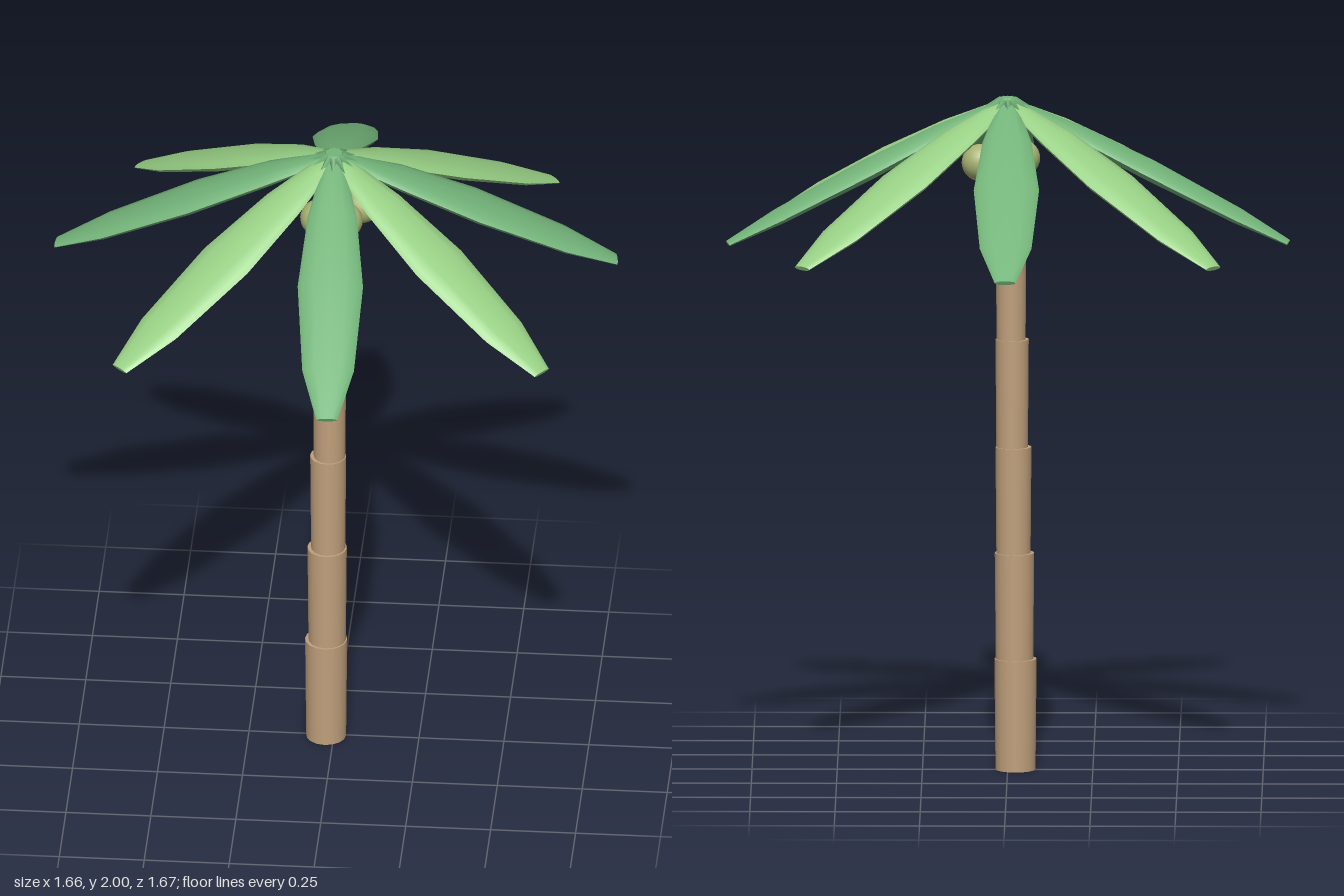
import * as THREE from 'three';
import { mergeVertices, toCreasedNormals } from 'three/addons/utils/BufferGeometryUtils.js';

const mat = (color) => new THREE.MeshStandardMaterial({ color });
const bark = mat(0xc0a07c), darkLeaf = mat(0x74b57a), lightLeaf = mat(0x98d085), nutSkin = mat(0xa9b374);

function add(parent, name, geometry, material, x = 0, y = 0, z = 0) {
  const mesh = new THREE.Mesh(geometry, material);
  mesh.name = name;
  mesh.position.set(x, y, z);
  parent.add(mesh);
  return mesh;
}

// Leaf rings from crown to tip: distance out, height, half width, half thickness
const RINGS = [
  [0, 1.985, 0.018, 0.012],
  [0.07, 1.957, 0.042, 0.016],
  [0.2, 1.9, 0.072, 0.022],
  [0.42, 1.794, 0.096, 0.025],
  [0.68, 1.664, 0.076, 0.019],
  [0.832, 1.587, 0.031, 0.007],
];

// A closed cylinder swept along the rings, flattened into a drooping leaf
function frondGeometry() {
  const g = new THREE.CylinderGeometry(1, 1, 1, 12, RINGS.length - 1);
  const p = g.attributes.position;
  for (let i = 0; i < p.count; i++) {
    const ring = RINGS[Math.round((p.getY(i) + 0.5) * (RINGS.length - 1))];
    const [out, height, w, t] = ring;
    const across = p.getX(i), up = p.getZ(i);
    p.setXYZ(i, out + up * t * 0.44, height + up * t * 0.9, across * w);
  }
  g.deleteAttribute('uv');
  g.deleteAttribute('normal');
  return toCreasedNormals(mergeVertices(g), 0.9);
}

export function createModel() {
  const tree = new THREE.Group();
  tree.name = 'palmTree';

  // Trunk: stacked segments, each flaring slightly toward its top
  const trunk = new THREE.Group();
  trunk.name = 'trunk';
  tree.add(trunk);
  const levels = [0, 0.33, 0.645, 0.96, 1.28, 1.595, 1.95];
  const radii = [0.062, 0.058, 0.053, 0.049, 0.045, 0.041];
  const centres = [-0.023, -0.02, -0.017, -0.013, -0.01, -0.005];
  radii.forEach((r, i) => {
    const h = levels[i + 1] - levels[i];
    const g = new THREE.CylinderGeometry(r, r * 0.95, h, 16);
    add(trunk, 'trunkSegment', g, bark, centres[i], levels[i] + h / 2, 0.003);
  });

  // Fronds: eight leaves in alternating greens
  const fronds = new THREE.Group();
  fronds.name = 'fronds';
  tree.add(fronds);
  const leaf = frondGeometry();
  [-90, -44, -9.7, 38.4, 87, 134.7, 187.5, 223].forEach((deg, i) => {
    const frond = add(fronds, 'frond', leaf, i % 2 ? lightLeaf : darkLeaf);
    frond.rotation.y = -THREE.MathUtils.degToRad(deg);
  });

  // Crown bud: a ring of small pointed leaflets around a round cap
  const bud = new THREE.Group();
  bud.name = 'crownBud';
  tree.add(bud);
  add(bud, 'budCap', new THREE.CylinderGeometry(0.025, 0.035, 0.02, 10), darkLeaf, 0, 1.99, 0);
  const spike = new THREE.ConeGeometry(0.014, 0.06, 4)
    .translate(0, 0.03, 0).rotateZ(-Math.PI / 2 - 0.35).translate(0.022, 1.988, 0);
  for (let i = 0; i < 12; i++) {
    add(bud, 'budLeaflet', spike, darkLeaf).rotation.y = (i * Math.PI) / 6;
  }

  // Nuts hanging below the crown
  const nut = new THREE.SphereGeometry(0.055, 20, 14);
  for (const [x, z] of [[-0.04, 0.06], [0.08, -0.025], [0.035, 0.07]]) {
    add(tree, 'coconut', nut, nutSkin, x, 1.81, z);
  }
  return tree;
}
